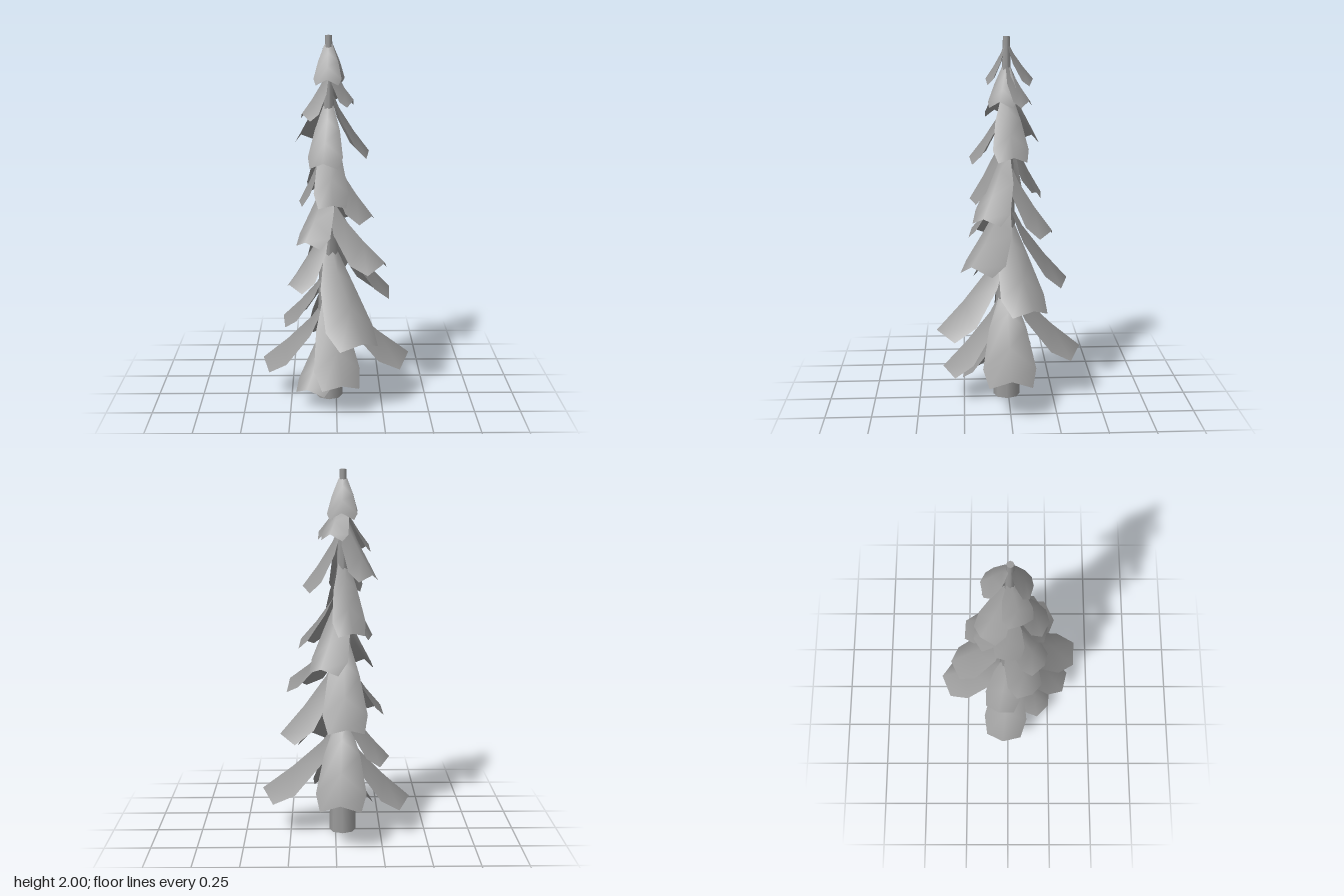
import * as THREE from 'three';

const TRUNK = { x: -0.04, z: 0.01 };

// [tip x, tip y, tip z, height of root above tip] of every drooping bough, bottom to top
const BOUGHS = [
  [0.405, 0.25, 0, 0.38], [-0.41, 0.21, -0.03, 0.36], [-0.02, 0.29, -0.4, 0.38],
  [0.03, 0.2, 0.365, 0.42], [-0.16, 0.13, 0.25, 0.3],
  [0.14, 0.45, 0.395, 0.43], [0.3, 0.6, -0.12, 0.43], [-0.055, 0.68, -0.325, 0.43], [-0.295, 0.45, -0.055, 0.3],
  [-0.255, 0.69, 0.14, 0.32], [0.255, 0.83, 0.205, 0.3], [0.08, 0.98, -0.23, 0.36], [-0.165, 0.94, 0.2, 0.3],
  [0.19, 1.07, 0.14, 0.33], [-0.2, 1.12, 0, 0.36], [-0.02, 1.14, 0.21, 0.38], [-0.09, 1.16, -0.18, 0.38],
  [0.175, 1.39, -0.02, 0.33], [-0.07, 1.36, 0.21, 0.3], [-0.19, 1.46, -0.135, 0.3],
  [-0.18, 1.6, 0.07, 0.22], [0.09, 1.67, 0.05, 0.19], [0.03, 1.67, -0.11, 0.2],
  [-0.05, 1.78, 0.12, 0.19], [-0.03, 1.78, -0.13, 0.19],
];

// Arched sheet: rows of left edge, ridge and right edge, ending in a blunt point
function boughGeometry(length, drop) {
  const half = 0.05 + 0.21 * length;
  // ridge reach, ridge fall, edge reach, edge fall, width
  const rows = [
    [0.06, 0, 0.06, 0, 0.3],
    [0.26, 0.3, 0.25, 0.29, 0.72],
    [0.62, 0.67, 0.6, 0.65, 1],
    [1, 1, 0.87, 0.88, 0.8],
  ];
  const pos = [], index = [];
  rows.forEach(([rr, rf, er, ef, w], i) => {
    for (const side of [-1, 0, 1]) {
      const reach = side ? er : rr;
      const fall = side ? ef : rf;
      pos.push(side * w * half, -fall * drop - (side ? 0.92 * w * half : 0), reach * length);
    }
    if (i === 0) return;
    for (let c = 0; c < 2; c++) {
      const a = (i - 1) * 3 + c, b = a + 3;
      index.push(a, b, a + 1, a + 1, b, b + 1);
    }
  });
  const g = new THREE.BufferGeometry();
  g.setAttribute('position', new THREE.Float32BufferAttribute(pos, 3));
  g.setIndex(index);
  g.computeVertexNormals();
  return g;
}

export function createModel() {
  const tree = new THREE.Group();
  tree.name = 'conifer';
  const grey = new THREE.MeshStandardMaterial({ color: 0x999999, side: THREE.DoubleSide });
  grey.name = 'plain grey';

  // Tapered trunk
  const trunk = new THREE.Mesh(new THREE.CylinderGeometry(0.018, 0.075, 2, 8), grey);
  trunk.name = 'trunk';
  trunk.position.set(TRUNK.x, 1, TRUNK.z);
  tree.add(trunk);

  // Boughs hung around the trunk
  const boughs = new THREE.Group();
  boughs.name = 'boughs';
  for (const [x, y, z, drop] of BOUGHS) {
    const dx = x - TRUNK.x, dz = z - TRUNK.z;
    const bough = new THREE.Mesh(boughGeometry(Math.hypot(dx, dz), drop), grey);
    bough.name = 'bough';
    bough.position.set(TRUNK.x, y + drop, TRUNK.z);
    bough.rotation.y = Math.atan2(dx, dz);
    boughs.add(bough);
  }
  tree.add(boughs);
  return tree;
}
